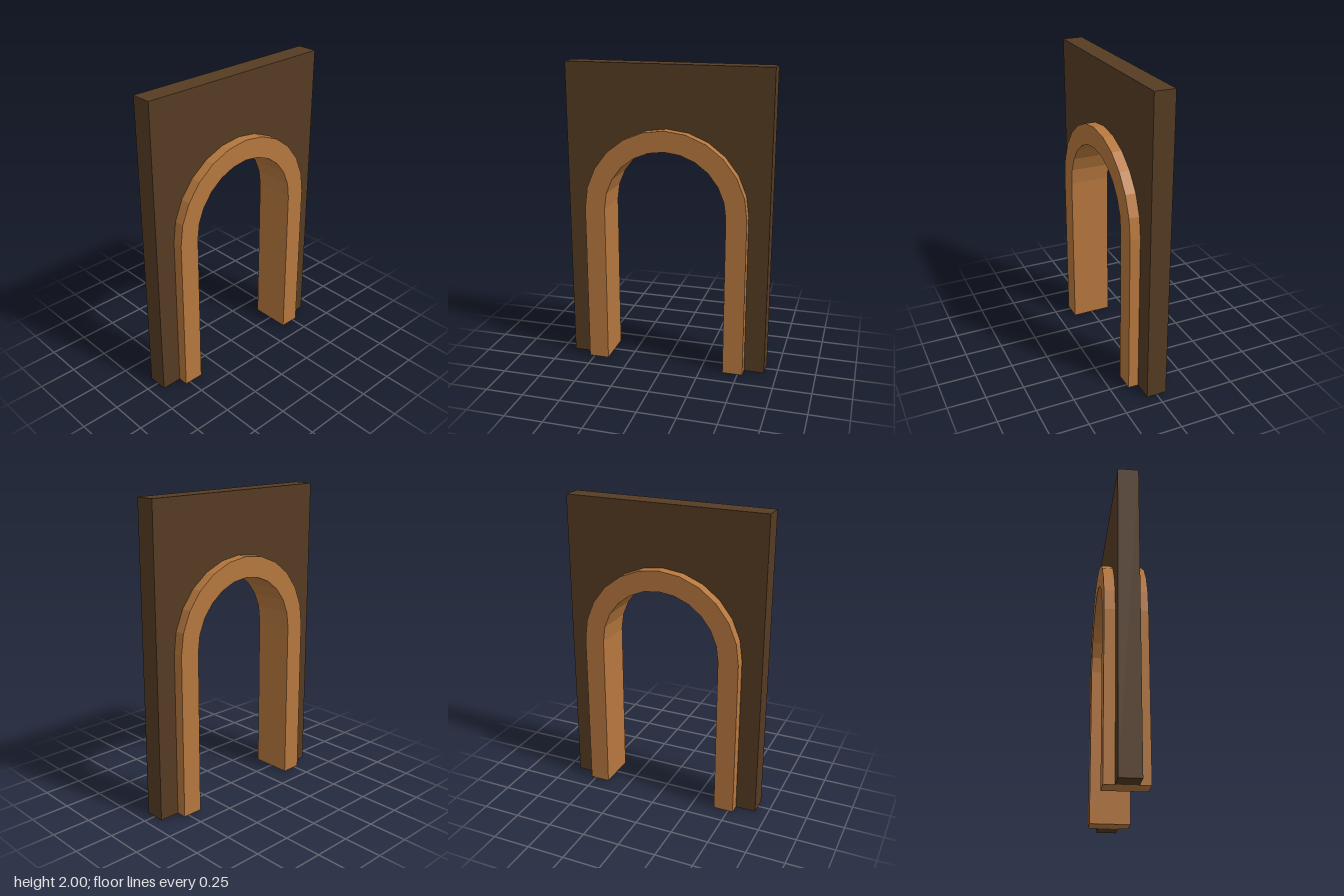
import * as THREE from 'three';

const SPRING = 1.067; // height where the arch starts to curve
const INNER = 0.4;
const OUTER = 0.533;
const STEPS = 12;

// Points of an arch outline, from right foot over the top to left foot
function archPoints(r) {
  const pts = [new THREE.Vector2(r, 0)];
  for (let i = 0; i <= STEPS; i++) {
    const a = (i / STEPS) * Math.PI;
    pts.push(new THREE.Vector2(r * Math.cos(a), SPRING + r * Math.sin(a)));
  }
  pts.push(new THREE.Vector2(-r, 0));
  return pts;
}

// Extrudes an outline, centred on z = 0
function slab(name, points, depth, material) {
  const geometry = new THREE.ExtrudeGeometry(new THREE.Shape(points), { depth, bevelEnabled: false });
  geometry.translate(0, 0, -depth / 2);
  const mesh = new THREE.Mesh(geometry, material);
  mesh.name = name;
  return mesh;
}

export function createModel() {
  const darkWood = new THREE.MeshStandardMaterial({ color: 0x553b23, flatShading: true });
  darkWood.name = 'dark wood';
  const lightWood = new THREE.MeshStandardMaterial({ color: 0xb6773e, flatShading: true });
  lightWood.name = 'light wood';

  const group = new THREE.Group();
  group.name = 'archedDoorway';

  // Wall panel with the arched opening
  const w = 0.667;
  const wallOutline = [
    ...archPoints(OUTER),
    new THREE.Vector2(-w, 0),
    new THREE.Vector2(-w, 2),
    new THREE.Vector2(w, 2),
    new THREE.Vector2(w, 0),
  ];
  group.add(slab('wall', wallOutline, 0.133, darkWood));

  // Thicker arched frame lining the opening
  const frameOutline = [...archPoints(OUTER), ...archPoints(INNER).reverse()];
  group.add(slab('archFrame', frameOutline, 0.267, lightWood));

  return group;
}
